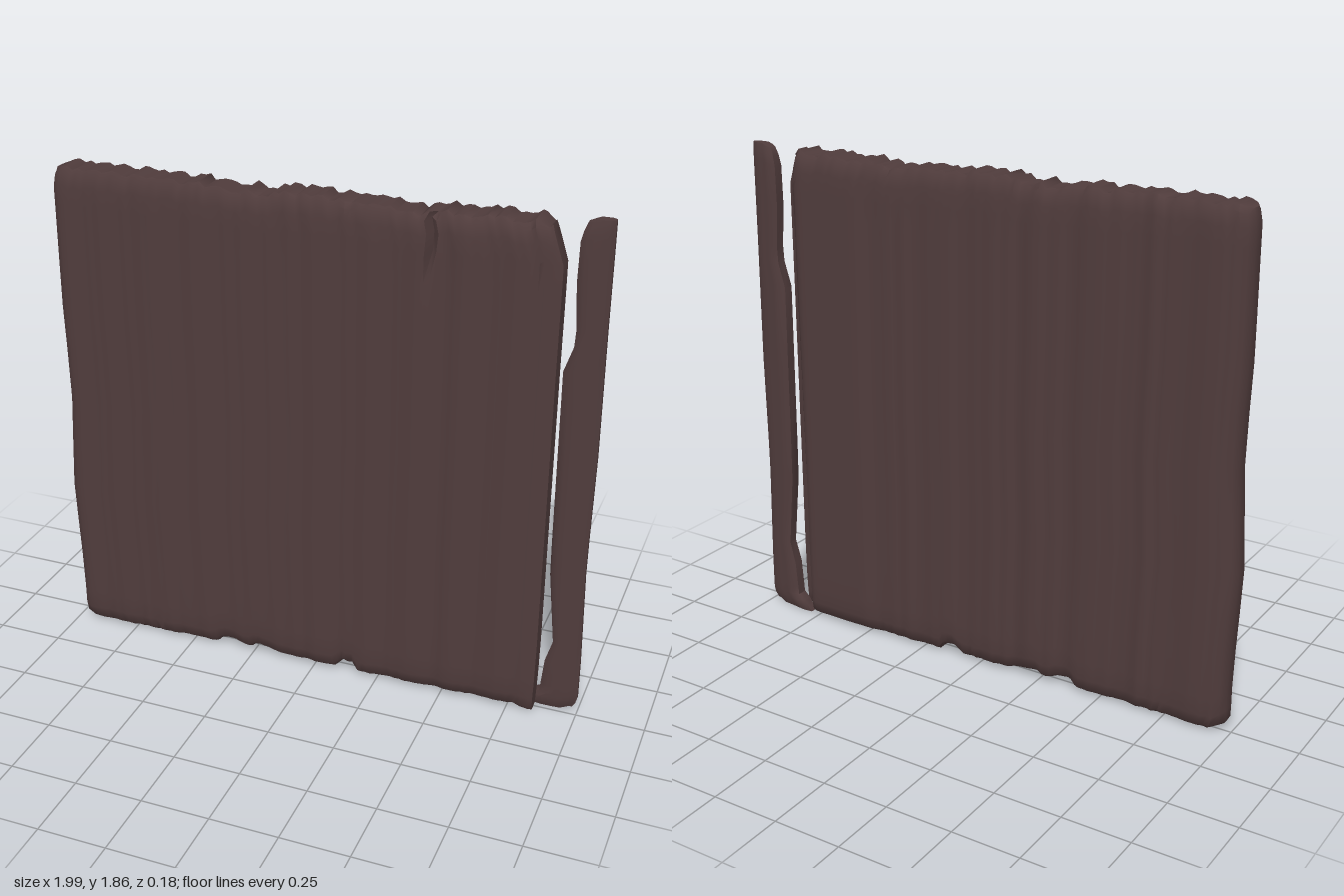
import * as THREE from 'three';
import { toCreasedNormals } from 'three/addons/utils/BufferGeometryUtils.js';

// Repeatable noise in -1..1
function seeded(seed) {
  let s = seed;
  return () => {
    s = (s * 16807) % 2147483647;
    return (s / 2147483647) * 2 - 1;
  };
}

// Piecewise-linear curve through [position, value] pairs
function curve(points) {
  return (t) => {
    if (t <= points[0][0]) return points[0][1];
    for (let i = 1; i < points.length; i++) {
      const [a, va] = points[i - 1], [b, vb] = points[i];
      if (t <= b) return va + ((vb - va) * (t - a)) / (b - a);
    }
    return points[points.length - 1][1];
  };
}

// Loft an upright slab along x: rings run up the front and down the back
function slab({ columns, rows, left, right, bottom, top, front, back, round }) {
  const pos = [], index = [], n = rows.length, ring = n * 2;
  columns.forEach((u, i) => {
    for (let k = 0; k < ring; k++) {
      const isFront = k < n;
      const v = rows[isFront ? k : ring - 1 - k];
      const y0 = bottom(u, i), y = y0 + (top(u, i) - y0) * v;
      const x = left(y) + (right(y) - left(y)) * u;
      const f = front(x, y, i), b = back(x, y, i), mid = (f + b) / 2;
      pos.push(x, y, mid + ((isFront ? f : b) - mid) * round(u, v));
    }
  });
  for (let i = 0; i < columns.length - 1; i++) {
    for (let k = 0; k < ring; k++) {
      const a = i * ring + k, d = i * ring + ((k + 1) % ring);
      index.push(a, a + ring, d + ring, a, d + ring, d);
    }
  }
  const last = (columns.length - 1) * ring;
  for (let j = 0; j < n - 1; j++) {
    const p = ring - 1 - j, q = ring - 2 - j;
    index.push(p, j, j + 1, p, j + 1, q);
    index.push(last + j, last + p, last + q, last + j, last + q, last + j + 1);
  }
  const geometry = new THREE.BufferGeometry();
  geometry.setAttribute('position', new THREE.Float32BufferAttribute(pos, 3));
  geometry.setIndex(index);
  return toCreasedNormals(geometry, 0.9);
}

export function createModel() {
  const group = new THREE.Group();
  const wood = new THREE.MeshStandardMaterial({ color: 0x503c3c });
  wood.name = 'dark brown wood';

  const add = (name, geometry) => {
    const mesh = new THREE.Mesh(geometry, wood);
    mesh.name = name;
    group.add(mesh);
  };

  const rows = [0, 0.008, 0.03, 0.07, 0.15, 0.23, 0.32, 0.42, 0.52, 0.63, 0.72, 0.8, 0.88, 0.93, 0.965, 0.988, 1];
  const rowRound = curve([[0, 0.6], [0.008, 0.85], [0.03, 0.97], [0.07, 1], [0.965, 1], [0.988, 0.92], [1, 0.72]]);

  // Main panel: rippled boards with ragged top and bottom edges
  const columns = [0, 0.008, 0.02];
  for (let i = 2; i < 88; i++) columns.push(0.01 + (i * 0.98) / 90);
  columns.push(0.968, 0.974, 0.992, 1);
  const rand = seeded(4711);
  const ripple = columns.map(() => [rand() * 0.005, rand() * 0.005, rand() * 0.011, rand() * 0.005]);
  const panelTop = curve([[0, 1.84], [0.02, 1.853], [0.3, 1.85], [0.44, 1.84], [0.5, 1.855], [0.62, 1.85], [0.75, 1.832], [0.8, 1.85], [1, 1.85]]);
  const panelBottom = curve([[0, 0.03], [0.02, 0.008], [0.31, 0.012], [0.33, 0.04], [0.36, 0.035],
    [0.385, 0.015], [0.405, 0.04], [0.47, 0.015], [0.58, 0.012], [0.595, 0.045], [0.62, 0.04], [0.63, 0.01], [1, 0.01]]);
  const panelFront = curve([[-1, 0.07], [-0.95, 0.082], [0, 0.068], [0.85, 0.05]]);
  const panelBack = curve([[-1, -0.05], [-0.5, -0.054], [0, -0.07], [0.45, -0.082], [0.5, -0.094],
    [0.76, -0.09], [0.785, -0.075], [0.8, -0.025], [0.85, -0.015]]);
  const endRound = curve([[0, 0.4], [0.008, 0.8], [0.02, 1], [0.99, 1], [1, 0.94]]);
  add('panel', slab({
    columns,
    rows,
    left: curve([[0, -0.95], [0.04, -0.98], [0.2, -0.978], [0.6, -0.998], [1, -0.972], [1.35, -0.985], [1.8, -0.982], [1.85, -0.968]]),
    right: curve([[0, 0.845], [0.2, 0.85], [1.35, 0.845], [1.72, 0.845], [1.85, 0.8]]),
    bottom: (u) => panelBottom(u),
    top: (u, i) => panelTop(u) + ripple[i][2],
    front: (x, y, i) => {
      const crack = Math.abs(x - 0.41) < 0.012 && y > 1.64 ? 0.03 : 0;
      return panelFront(x) + ripple[i][0] + 0.003 * Math.sin(x * 38) - crack;
    },
    back: (x, y, i) => {
      const rough = x > 0.48 ? 0 : 1;
      return panelBack(x) + rough * (ripple[i][1] + 0.003 * Math.sin(x * 31));
    },
    round: (u, v) => endRound(u) * rowRound(v),
  }));

  // Loose edge strip, splintered along its inner side and joined at the foot
  const stripRows = [0, 0.01, 0.022, 0.032, 0.05, 0.105, 0.15, 0.3, 0.37, 0.55, 0.72, 0.77, 0.8, 0.89, 0.965, 0.985, 1];
  const stripRound = curve([[0, 0.55], [0.2, 1], [0.8, 1], [1, 0.4]]);
  const stripTop = curve([[0, 1.85], [0.4, 1.865], [1, 1.866]]);
  add('edgeStrip', slab({
    columns: [0, 0.06, 0.2, 0.4, 0.6, 0.8, 0.93, 1],
    rows: stripRows,
    left: curve([[0, 0.79], [0.04, 0.82], [0.06, 0.855], [0.2, 0.868], [0.28, 0.892], [0.55, 0.863], [0.7, 0.86],
      [1.34, 0.853], [1.44, 0.889], [1.66, 0.875], [1.8, 0.878], [1.86, 0.9]]),
    right: curve([[0, 0.97], [0.04, 0.995], [0.2, 0.994], [0.6, 0.984], [1.03, 0.99], [1.5, 0.986], [1.86, 0.985]]),
    bottom: (u) => (u > 0.9 ? 0.012 : 0.002),
    top: (u) => stripTop(u),
    front: curve([[0.79, -0.02], [0.87, -0.005], [0.99, -0.018]]),
    back: curve([[0.79, -0.085], [0.87, -0.075], [0.92, -0.064], [0.99, -0.058]]),
    round: (u, v) => stripRound(u) * rowRound(v),
  }));

  return group;
}
